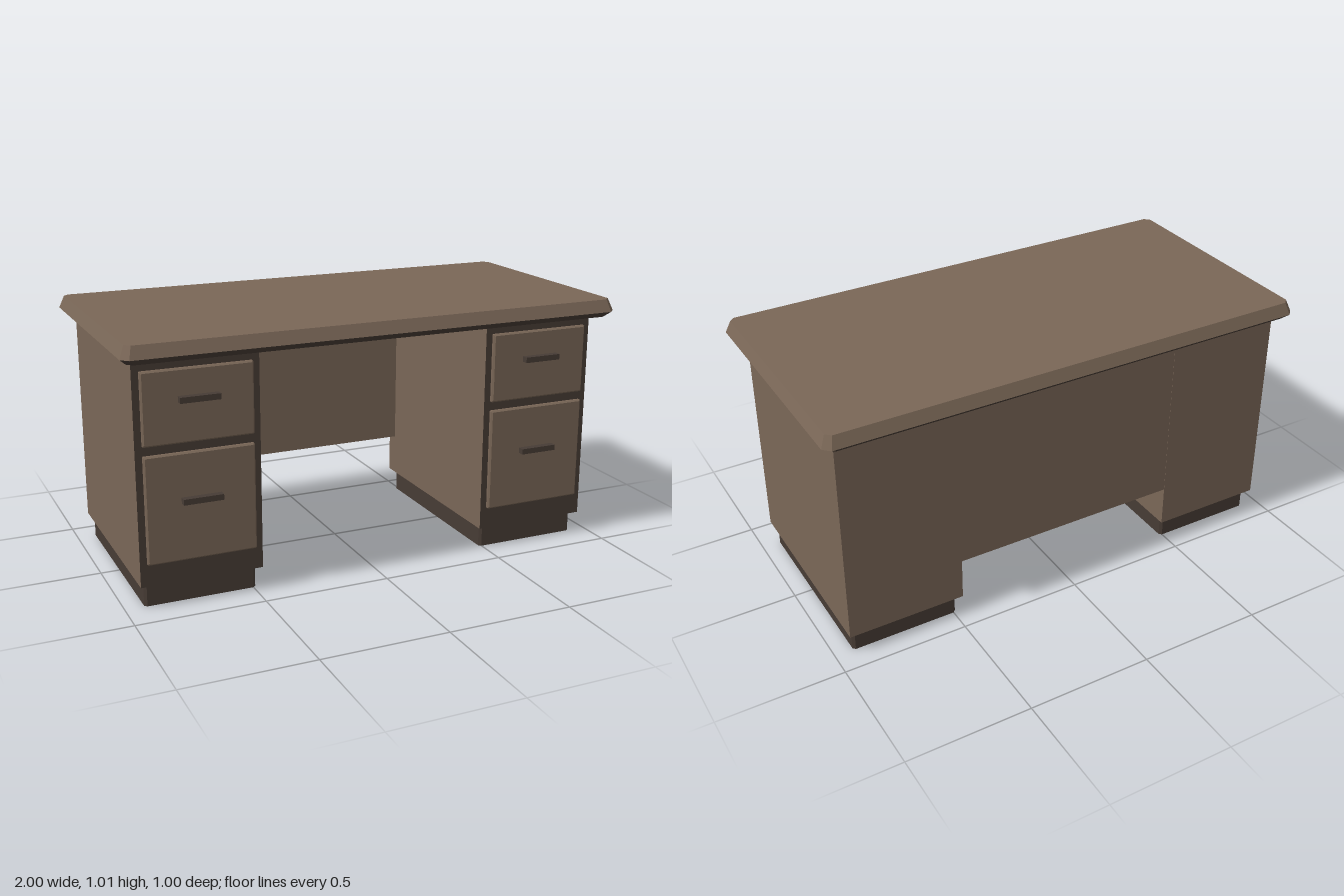
import * as THREE from 'three';

const wood = new THREE.MeshStandardMaterial({ color: 0x7a6757 });
wood.name = 'walnut wood';
const dark = new THREE.MeshStandardMaterial({ color: 0x473c35 });
dark.name = 'dark wood';

// Chamfered rectangle cross-section, counter-clockwise from above
function ring(w, d, c, y) {
  const x = w / 2, z = d / 2;
  return [
    [x, z - c], [x, -z + c], [x - c, -z], [-x + c, -z],
    [-x, -z + c], [-x, z - c], [-x + c, z], [x - c, z],
  ].map(([px, pz]) => new THREE.Vector3(px, y, pz));
}

// Flat-faced solid through rings listed bottom to top, with optional caps
function loft(rings, capBottom = true, capTop = true) {
  const pts = [];
  for (let r = 0; r < rings.length - 1; r++) {
    const a = rings[r], b = rings[r + 1], n = a.length;
    for (let i = 0; i < n; i++) {
      const j = (i + 1) % n;
      pts.push(a[i], a[j], b[j], a[i], b[j], b[i]);
    }
  }
  const lo = rings[0], hi = rings[rings.length - 1];
  for (let i = 1; i < lo.length - 1; i++) {
    if (capBottom) pts.push(lo[0], lo[i + 1], lo[i]);
    if (capTop) pts.push(hi[0], hi[i], hi[i + 1]);
  }
  const g = new THREE.BufferGeometry().setFromPoints(pts);
  g.computeVertexNormals();
  return g;
}

function add(parent, name, geometry, material, x = 0, y = 0, z = 0) {
  const m = new THREE.Mesh(geometry, material);
  m.name = name;
  m.position.set(x, y, z);
  parent.add(m);
  return m;
}

// Box given by its limits on each axis
function addBox(parent, name, material, [x0, x1], [y0, y1], [z0, z1]) {
  return add(parent, name, new THREE.BoxGeometry(x1 - x0, y1 - y0, z1 - z0), material,
    (x0 + x1) / 2, (y0 + y1) / 2, (z0 + z1) / 2);
}

function addDrawer(parent, cx, y0, y1, handleY) {
  const w = 0.42, h = y1 - y0;
  const front = loft([ring(w, h, 0.003, 0), ring(w, h, 0.003, 0.01), ring(w - 0.012, h - 0.012, 0.003, 0.016)]);
  front.rotateX(Math.PI / 2);
  add(parent, 'drawerFront', front, wood, cx, (y0 + y1) / 2, 0.394);
  addBox(parent, 'drawerHandle', dark, [cx - 0.076, cx + 0.076], [handleY - 0.011, handleY + 0.011], [0.405, 0.437]);
}

function createPedestal(side) {
  const p = new THREE.Group();
  p.name = side > 0 ? 'leftPedestal' : 'rightPedestal';
  const cx = side * 0.7075;

  // Cabinet with a dark front face
  const body = addBox(p, 'cabinet', wood, [cx - 0.2365, cx + 0.2365], [0.09, 0.945], [-0.432, 0.394]);
  body.material = [wood, wood, wood, wood, dark, wood];

  // Recessed base
  add(p, 'plinth', loft([ring(0.436, 0.77, 0.01, 0), ring(0.436, 0.77, 0.01, 0.09)]), dark, cx, 0, -0.02);

  addDrawer(p, cx, 0.625, 0.9, 0.79);
  addDrawer(p, cx, 0.177, 0.59, 0.411);
  return p;
}

export function createModel() {
  const desk = new THREE.Group();
  desk.name = 'desk';

  // Top: sloped wooden edge above a dark undercut
  const edge = ring(2, 1, 0.027, 0.967);
  add(desk, 'deskTop', loft([edge, ring(1.962, 0.962, 0.02, 1.015)], false, true), wood);
  add(desk, 'deskTopUnderside', loft([ring(1.948, 0.948, 0.022, 0.944), edge], true, false), dark);

  for (const side of [-1, 1]) desk.add(createPedestal(side));

  // Back panel between the pedestals
  addBox(desk, 'backPanel', wood, [-0.472, 0.472], [0.26, 0.938], [-0.431, -0.38]);
  return desk;
}
